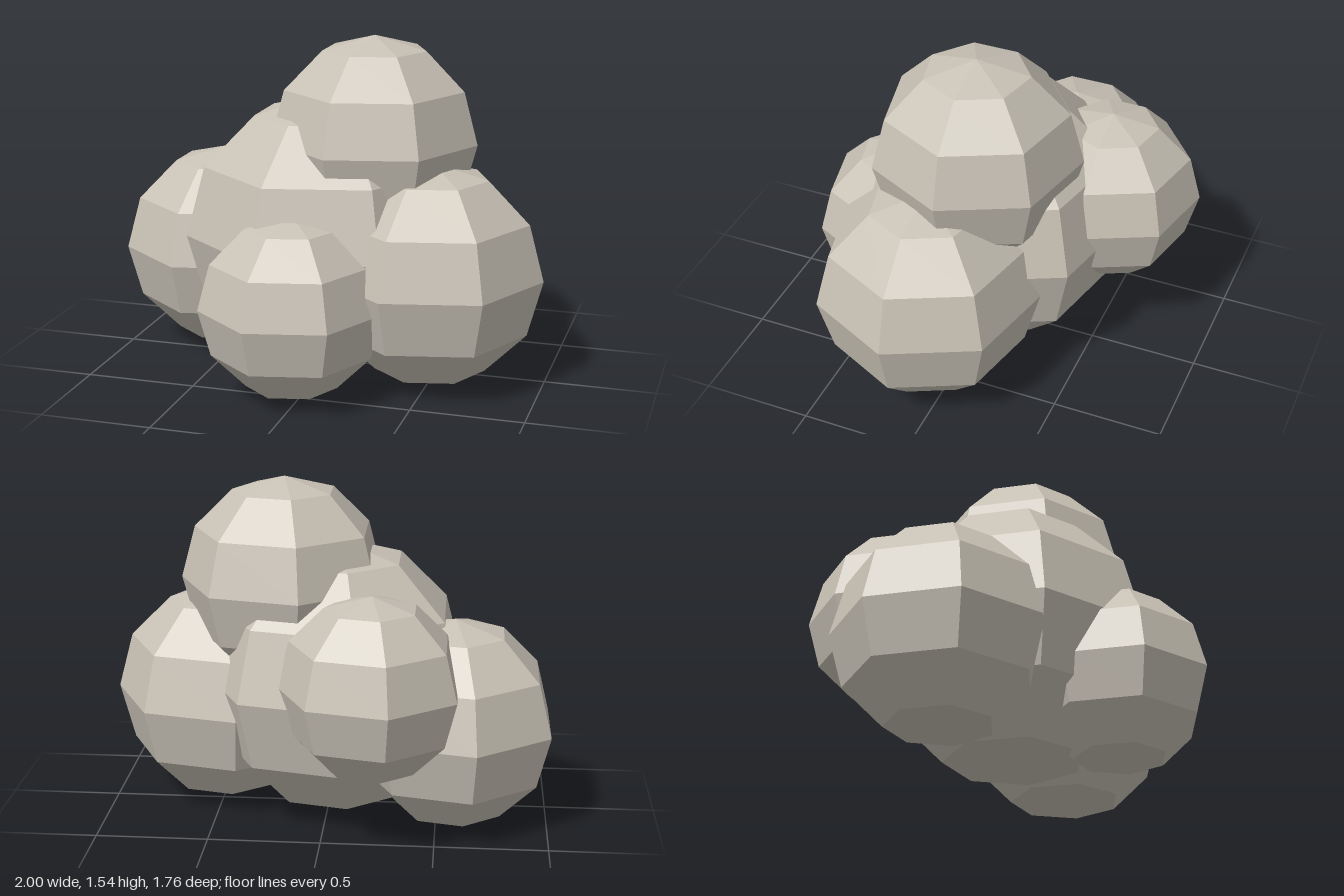
import * as THREE from 'three';

// Each lobe: name, centre x, y, z and radius
const LOBES = [
  ['centreLobe', -0.034, 0.63, 0, 0.63],
  ['topLobe', 0.2, 1.07, 0, 0.47],
  ['leftLobe', 0.495, 0.505, 0.115, 0.505],
  ['rightLobe', -0.572, 0.475, -0.18, 0.475],
  ['frontLobe', -0.04, 0.412, 0.475, 0.412],
  ['backLobe', -0.22, 0.715, -0.48, 0.41],
];

export function createModel() {
  const group = new THREE.Group();
  group.name = 'lobeCluster';

  const stone = new THREE.MeshStandardMaterial({ color: 0xc8c1b5, flatShading: true });
  stone.name = 'warmGrey';

  // Seven-sided faceted ball with one corner towards +x
  const ball = new THREE.SphereGeometry(1, 7, 6, Math.PI);

  for (const [name, x, y, z, radius] of LOBES) {
    const lobe = new THREE.Mesh(ball, stone);
    lobe.name = name;
    lobe.position.set(x, y, z);
    lobe.scale.setScalar(radius);
    group.add(lobe);
  }
  return group;
}
